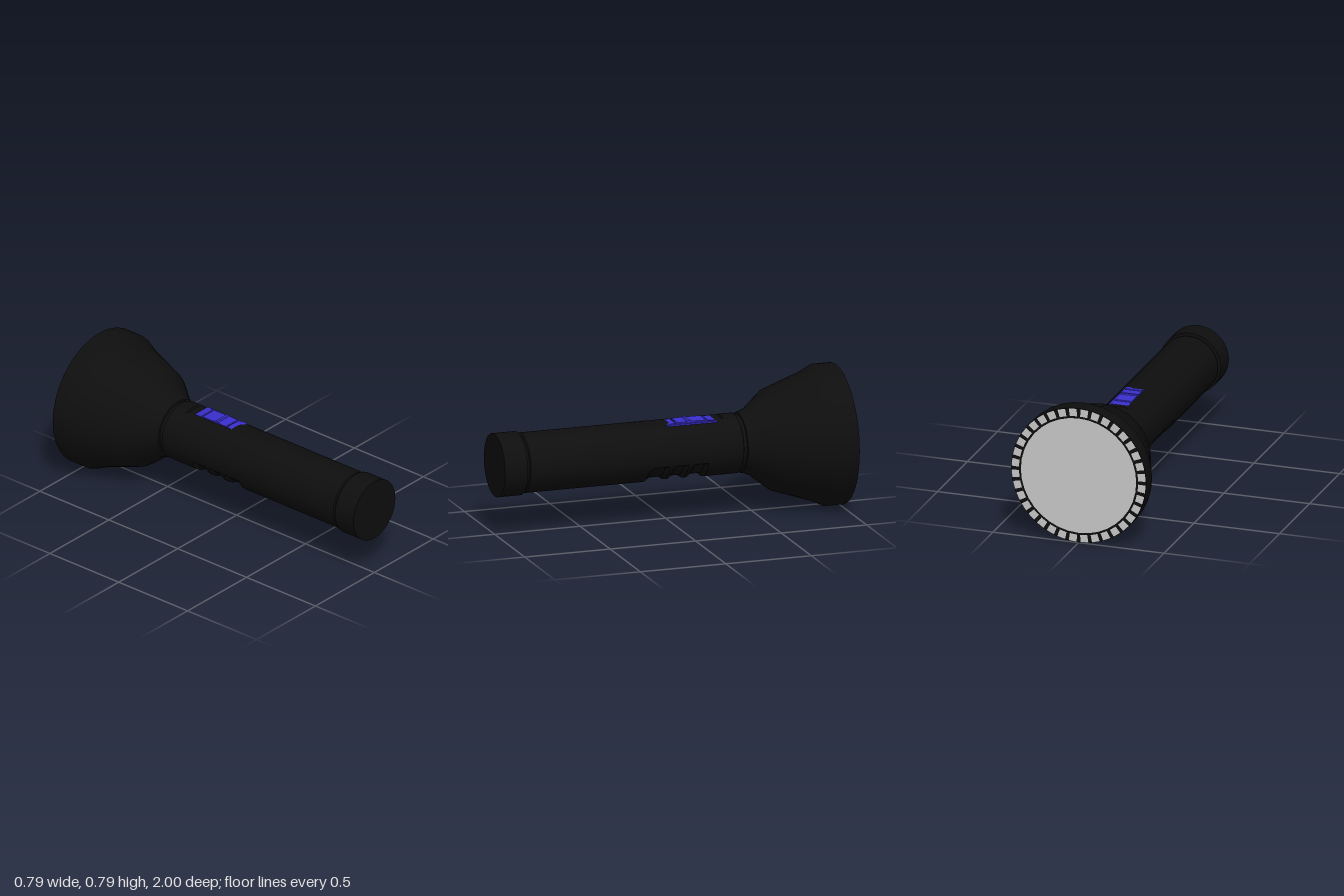
import * as THREE from 'three';
import { toCreasedNormals } from 'three/addons/utils/BufferGeometryUtils.js';

const AXIS_Y = 0.397; // height of the torch axis
const SIDES = 36;
const black = new THREE.MeshStandardMaterial({ color: 0x0e0e0e });
const blue = new THREE.MeshStandardMaterial({ color: 0x3a30d0 });
const grey = new THREE.MeshStandardMaterial({ color: 0xcccccc });

function part(name, geometry, material) {
  const mesh = new THREE.Mesh(geometry, material);
  mesh.name = name;
  return mesh;
}

// Turned part along z from [radius, z] pairs, listed with z increasing
function turned(profile) {
  const points = profile.map(([r, z]) => new THREE.Vector2(r, z));
  return new THREE.LatheGeometry(points, SIDES).rotateX(Math.PI / 2);
}

// Linear interpolation through [z, value] pairs
function sample(table, z) {
  for (let i = 1; i < table.length; i++) {
    const [z0, a] = table[i - 1], [z1, b] = table[i];
    if (z >= z0 && z <= z1) return THREE.MathUtils.lerp(a, b, (z - z0) / (z1 - z0));
  }
  return table[0][1];
}

// Handle tube with a flat for the switch on top and finger grips underneath
function handleGeometry() {
  const R = 0.168;
  const flat = [[-0.41, 0.2], [-0.32, 0.2], [-0.315, 0.157], [0.1, 0.161], [0.34, 0.17], [0.85, 0.2]];
  const grip = [[-0.41, 0], [-0.2, 0], [-0.18, 0.021], [-0.12, 0.021], [-0.098, 0.004], [-0.082, 0.004],
    [-0.06, 0.021], [-0.01, 0.021], [0.012, 0.004], [0.028, 0.004], [0.05, 0.021], [0.12, 0.021],
    [0.15, 0], [0.85, 0]];
  const stations = [...flat.slice(1, -1), ...grip.slice(1, -1)].map(([z]) => z).sort((a, b) => a - b);
  const geo = turned([[0.158, -0.43], [0.158, -0.405], [R, -0.4],
    ...stations.map((z) => [R, z]), [R, 0.845], [0.158, 0.85], [0.158, 0.87]]);
  const p = geo.attributes.position;
  for (let i = 0; i < p.count; i++) {
    const x = p.getX(i), y = p.getY(i), z = p.getZ(i);
    const r = Math.hypot(x, y);
    const fromBelow = THREE.MathUtils.radToDeg(Math.acos(THREE.MathUtils.clamp(-y / r, -1, 1)));
    const fade = THREE.MathUtils.clamp((70 - fromBelow) / 10, 0, 1);
    const k = (r - sample(grip, z) * fade) / r;
    p.setXY(i, x * k, Math.min(y * k, sample(flat, z)));
  }
  return toCreasedNormals(geo, 0.5);
}

// Switch: base plate plus a rocker with a centre ridge
function createSwitch() {
  const group = new THREE.Group();
  group.name = 'switch';
  const base = part('switchPlate', new THREE.BoxGeometry(0.126, 0.02, 0.29), blue);
  base.position.set(0.013, 0.147, -0.13);
  group.add(base);

  const outline = [[0.01, 0.15], [0.01, 0.158], [-0.035, 0.163], [-0.038, 0.159], [-0.044, 0.159],
    [-0.047, 0.164], [-0.105, 0.165], [-0.11, 0.17], [-0.125, 0.17], [-0.13, 0.165],
    [-0.215, 0.164], [-0.218, 0.159], [-0.224, 0.159], [-0.227, 0.162], [-0.27, 0.158], [-0.27, 0.15]];
  const shape = new THREE.Shape(outline.map(([z, y]) => new THREE.Vector2(z, y)));
  const rocker = new THREE.ExtrudeGeometry(shape, { depth: 0.1, bevelEnabled: false });
  rocker.rotateY(-Math.PI / 2).translate(0.063, 0, 0);
  group.add(part('switchRocker', rocker, blue));
  return group;
}

export function createModel() {
  const model = new THREE.Group();
  model.name = 'torch';
  const body = new THREE.Group();
  body.name = 'torchBody';
  body.position.y = AXIS_Y;
  model.add(body);

  // Flared lamp head
  const head = turned([[0, -0.997], [0.395, -0.997], [0.395, -0.9], [0.36, -0.825],
    [0.283, -0.6], [0.19, -0.485], [0.173, -0.445], [0.168, -0.425], [0.158, -0.423], [0.158, -0.4]]);
  body.add(part('head', toCreasedNormals(head, 0.5), black));

  body.add(part('handle', handleGeometry(), black));

  // Tail cap
  const cap = turned([[0.155, 0.865], [0.178, 0.866], [0.178, 1], [0, 1]]);
  body.add(part('tailCap', toCreasedNormals(cap, 0.5), black));

  // Lens and the ring of light segments around it
  const lens = part('lens', new THREE.CircleGeometry(0.337, SIDES).rotateY(Math.PI), grey);
  lens.position.z = -1;
  body.add(lens);
  const ring = new THREE.Group();
  ring.name = 'bezelRing';
  const step = (Math.PI * 2) / SIDES;
  const segment = new THREE.RingGeometry(0.348, 0.392, 2, 1, step * 0.16, step * 0.68).rotateY(Math.PI);
  for (let i = 0; i < SIDES; i++) {
    const tooth = part('bezelSegment', segment, grey);
    tooth.rotation.z = i * step;
    tooth.position.z = -1;
    ring.add(tooth);
  }
  body.add(ring);

  body.add(createSwitch());
  return model;
}
